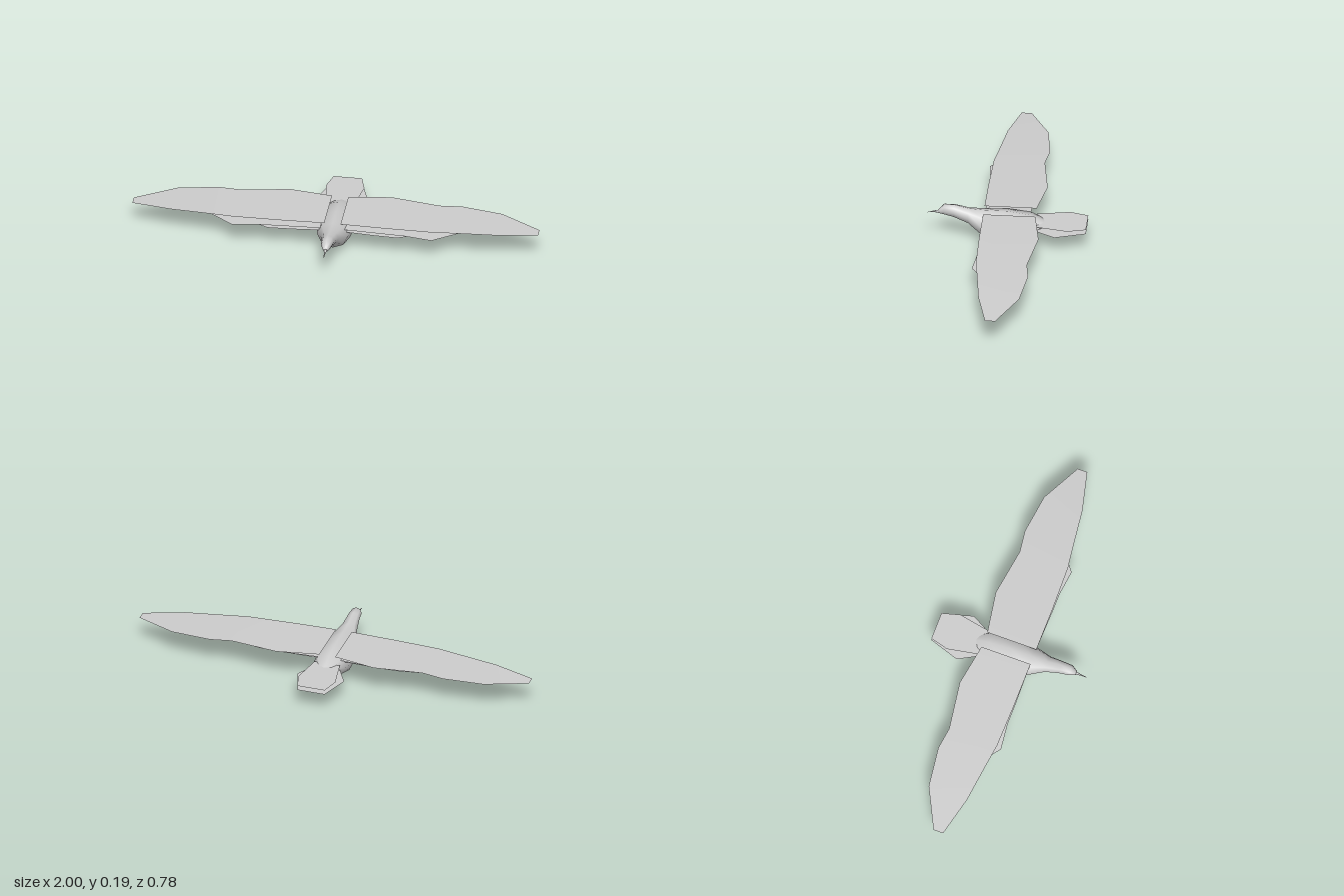
import * as THREE from 'three';

const plumage = new THREE.MeshStandardMaterial({ color: 0xcccccc });
plumage.name = 'pale grey';
const feather = new THREE.MeshStandardMaterial({ color: 0xcccccc, side: THREE.DoubleSide });
feather.name = 'pale grey feather';

const SIDES = 8;

function makeMesh(name, positions, indices, material) {
  const geometry = new THREE.BufferGeometry();
  geometry.setAttribute('position', new THREE.Float32BufferAttribute(positions, 3));
  geometry.setIndex(indices);
  geometry.computeVertexNormals();
  const mesh = new THREE.Mesh(geometry, material);
  mesh.name = name;
  return mesh;
}

// Closed tube through oval rings, each [z, bottom, top, halfWidth], ordered back to front
function loft(name, rings) {
  const positions = [], indices = [];
  const addRing = ([z, bottom, top, halfWidth]) => {
    const start = positions.length / 3;
    for (let i = 0; i < SIDES; i++) {
      const a = (i / SIDES) * Math.PI * 2;
      positions.push(Math.cos(a) * halfWidth, (top + bottom) / 2 + Math.sin(a) * (top - bottom) / 2, z);
    }
    return start;
  };
  const starts = rings.map(addRing);
  for (let r = 0; r < rings.length - 1; r++) {
    for (let i = 0; i < SIDES; i++) {
      const j = (i + 1) % SIDES;
      const a = starts[r] + i, b = starts[r] + j, c = starts[r + 1] + j, d = starts[r + 1] + i;
      indices.push(a, b, c, a, c, d);
    }
  }
  // Flat end caps with their own vertices
  const back = addRing(rings[0]), front = addRing(rings[rings.length - 1]);
  for (let i = 1; i < SIDES - 1; i++) {
    indices.push(back, back + i + 1, back + i, front, front + i, front + i + 1);
  }
  return makeMesh(name, positions, indices, plumage);
}

// Thin feather sheet across stations [x, y, zBack, zFront]
function sheet(name, stations, side = 1) {
  const positions = [], indices = [];
  stations.forEach(([x, y, back, front], i) => {
    positions.push(side * x, y, back, side * x, y, front);
    if (i === 0) return;
    const a = 2 * i - 2, b = a + 1, c = a + 2, d = a + 3;
    if (side > 0) indices.push(a, b, c, b, d, c);
    else indices.push(a, c, b, b, c, d);
  });
  return makeMesh(name, positions, indices, feather);
}

// Flat tail fan from half widths [z, halfWidth], ordered back to front
function tail(name, y, widths) {
  const positions = [], indices = [];
  widths.forEach(([z, w], i) => {
    positions.push(-w, y, z, w, y, z);
    if (i === 0) return;
    const a = 2 * i - 2, b = a + 1, c = a + 2, d = a + 3;
    indices.push(a, c, b, b, c, d);
  });
  return makeMesh(name, positions, indices, feather);
}

export function createModel() {
  const bird = new THREE.Group();
  bird.name = 'bird';

  // Body, neck and head in one smooth skin
  bird.add(loft('body', [
    [-0.185, 0.103, 0.127, 0.035],
    [-0.115, 0.047, 0.157, 0.08],
    [0, 0.003, 0.173, 0.095],
    [0.11, 0.033, 0.173, 0.075],
    [0.19, 0.102, 0.178, 0.042],
    [0.26, 0.13, 0.196, 0.032],
    [0.31, 0.143, 0.195, 0.027],
    [0.338, 0.148, 0.164, 0.011],
  ]));
  bird.add(loft('beak', [
    [0.33, 0.148, 0.164, 0.008],
    [0.36, 0.149, 0.157, 0.004],
    [0.39, 0.146, 0.148, 0.001],
  ]));

  // Three overlapping feather layers on each wing
  const layers = {
    UpperWing: [
      [0.04, 0.172, -0.14, 0.115], [0.08, 0.172, -0.147, 0.115], [0.25, 0.169, -0.175, 0.115],
      [0.49, 0.165, -0.14, 0.11], [0.6, 0.161, -0.155, 0.095], [0.8, 0.153, -0.13, 0.07],
      [1, 0.14, -0.03, 0.02],
    ],
    MiddleWing: [
      [0.04, 0.14, -0.11, 0.11], [0.25, 0.137, -0.12, 0.115], [0.36, 0.134, -0.11, 0.115],
      [0.49, 0.13, -0.08, 0.13], [0.62, 0.125, -0.01, 0.03],
    ],
    LowerWing: [
      [0.04, 0.122, -0.09, 0.1], [0.2, 0.12, -0.09, 0.11], [0.32, 0.117, -0.05, 0.11],
      [0.41, 0.113, 0.02, 0.06],
    ],
  };
  for (const [name, stations] of Object.entries(layers)) {
    bird.add(sheet('left' + name, stations, 1), sheet('right' + name, stations, -1));
  }

  // Two stacked tail fans
  bird.add(tail('upperTail', 0.128, [[-0.39, 0.07], [-0.3, 0.095], [-0.14, 0.065]]));
  bird.add(tail('lowerTail', 0.105, [[-0.39, 0.07], [-0.24, 0.12], [-0.14, 0.065]]));

  return bird;
}
